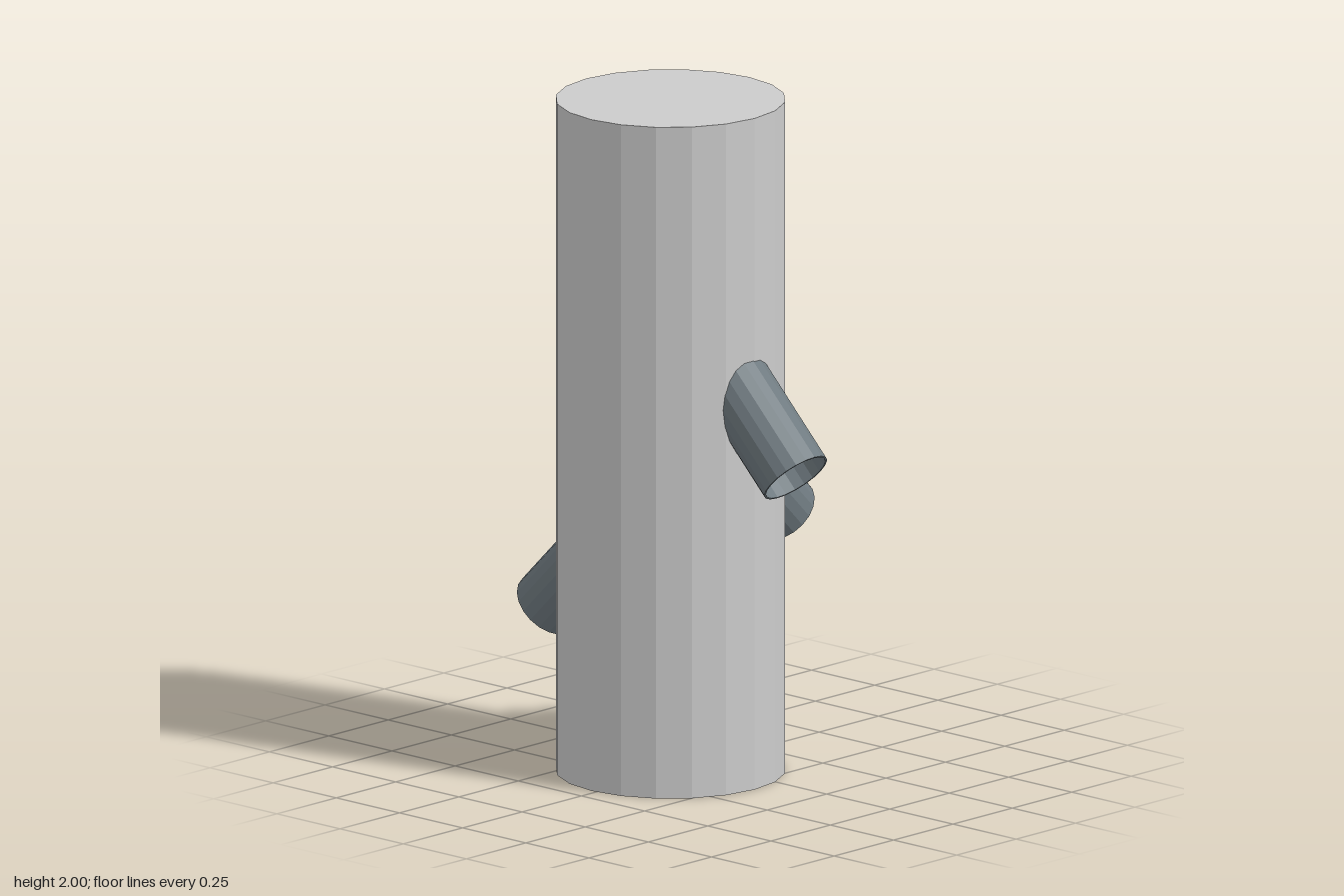
import * as THREE from 'three';

export function createModel() {
  const model = new THREE.Group();
  const trunkMat = new THREE.MeshStandardMaterial({ color: 0xcccccc, flatShading: true });
  const pipeMat = new THREE.MeshStandardMaterial({ color: 0x6f7a80, flatShading: true, side: THREE.DoubleSide });

  // Solid twenty-sided column
  const trunk = new THREE.Mesh(new THREE.CylinderGeometry(0.333, 0.333, 2, 20), trunkMat);
  trunk.name = 'column';
  trunk.position.set(-0.105, 1, -0.019);
  model.add(trunk);

  // Thin-walled spout: outer wall, rim, inner wall; mouth at y = 0
  const R = 0.106, r = 0.1, L = 0.45;
  const profile = [[R, 0], [R, L], [r, L], [r, 0], [R, 0]].map(([x, y]) => new THREE.Vector2(x, y));
  const spoutGeo = new THREE.LatheGeometry(profile, 20);

  // Each spout slopes down at 45 degrees, away from the column
  const spouts = [
    ['frontSpout', [-0.11, 0.96, 0.481], [0, 0, 1]],
    ['leftSpout', [0.358, 0.688, -0.011], [1, 0, 0]],
    ['backSpout', [-0.13, 0.415, -0.479], [0, 0, -1]],
  ];
  const up = new THREE.Vector3(0, 1, 0);
  for (const [name, mouth, out] of spouts) {
    const spout = new THREE.Mesh(spoutGeo, pipeMat);
    spout.name = name;
    spout.position.set(...mouth);
    const inward = new THREE.Vector3(...out).negate().add(up).normalize();
    spout.quaternion.setFromUnitVectors(up, inward);
    model.add(spout);
  }
  return model;
}
